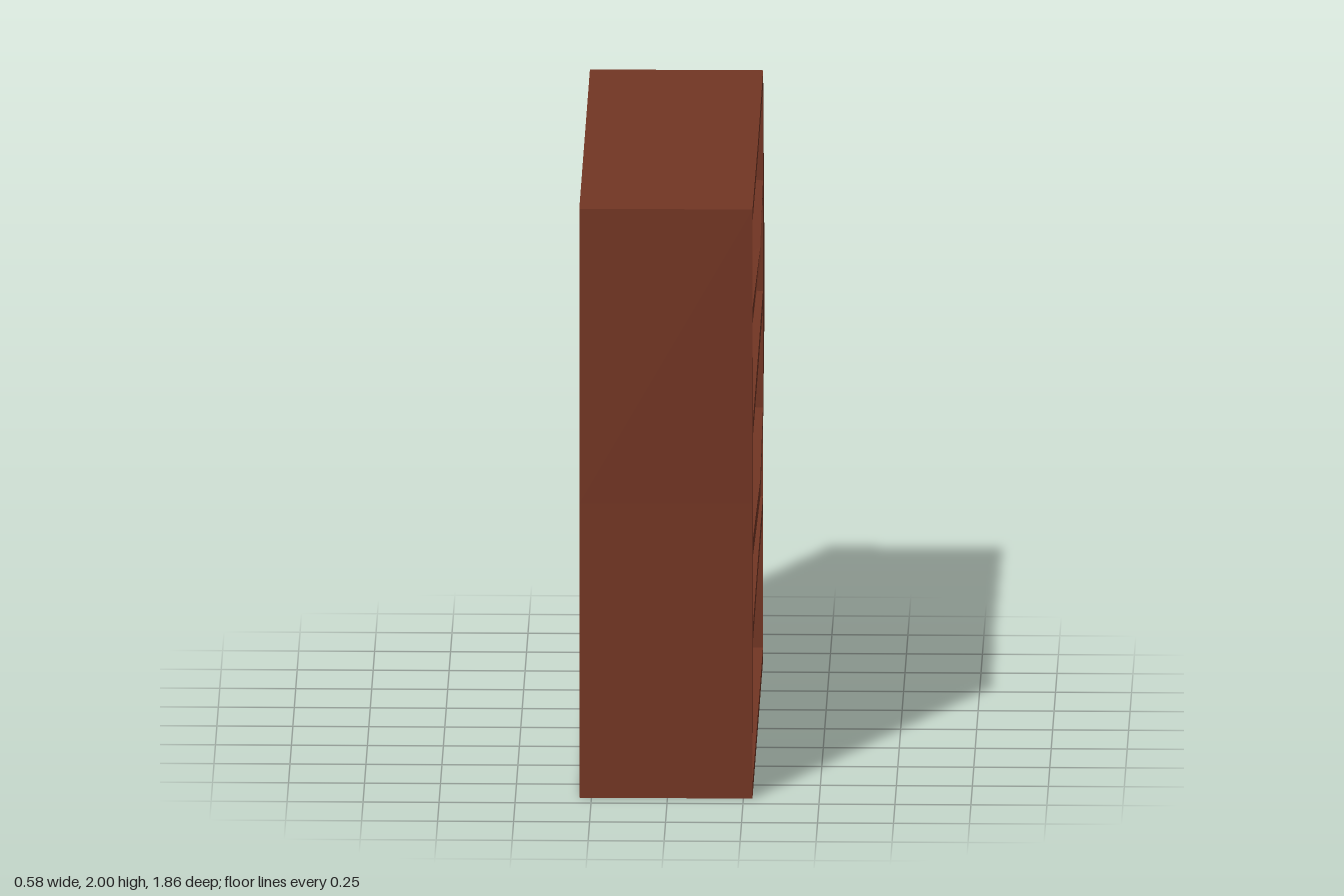
import * as THREE from 'three';

// Profiles are [u, y] pairs seen from the open side (+x), where u = -z.
const BACK = -0.29;
const outerFront = [[-0.93, 0], [0, 0], [0.92, 0], [0.92, 0.8], [0.93, 1.25], [0.92, 2], [0, 1.985], [-0.93, 2], [-0.92, 1]];
const outerBack = [[-0.93, 0], [0, 0], [0.92, 0], [0.92, 0.8], [0.92, 1.25], [0.92, 2], [0, 2], [-0.93, 2], [-0.93, 1]];

// Slightly worn rims, clockwise from the top left; inner = [left, right, bottom, top]
const compartments = [
  { rim: [[-0.89, 1.955], [0, 1.94], [0.88, 1.95], [0.885, 1.635], [0, 1.635], [-0.89, 1.66]], inner: [-0.89, 0.88, 1.66, 1.955], back: -0.05 },
  { rim: [[-0.89, 1.605], [0, 1.585], [0.875, 1.58], [0.885, 1.26], [0, 1.26], [-0.88, 1.265]], inner: [-0.88, 0.875, 1.265, 1.605], back: -0.05 },
  { rim: [[-0.88, 1.21], [0, 1.205], [0.885, 1.205], [0.88, 0.865], [0, 0.845], [-0.88, 0.865]], inner: [-0.88, 0.875, 0.865, 1.21], back: -0.05 },
  { rim: [[-0.88, 0.805], [0, 0.785], [0.875, 0.805], [0.875, 0.565], [0, 0.57], [-0.88, 0.57]], inner: [-0.88, 0.875, 0.57, 0.805], back: -0.05 },
  { rim: [[-0.88, 0.51], [0, 0.525], [0.875, 0.51], [0.88, 0.05], [0, 0.05], [-0.89, 0.05]], inner: [-0.89, 0.88, 0.05, 0.51], back: -0.17 },
];

// Front surface, swelling a little at two shelves and on one upright
function frontX(u, y) {
  if (u === 0 && (Math.abs(y - 0.82) < 0.05 || Math.abs(y - 1.61) < 0.05)) return 0.288;
  return u > 0.925 ? 0.285 : 0.28;
}

const flat = (geometry) => {
  const g = geometry.index ? geometry.toNonIndexed() : geometry;
  g.computeVertexNormals();
  return g;
};

// Panel across x, with optional holes
function panel(outline, holes, xAt, faceBack = false) {
  const toPoints = (loop) => loop.map(([u, y]) => new THREE.Vector2(u, y));
  const shape = new THREE.Shape(toPoints(outline));
  for (const hole of holes) shape.holes.push(new THREE.Path(toPoints(hole)));
  const g = new THREE.ShapeGeometry(shape);
  const p = g.attributes.position;
  for (let i = 0; i < p.count; i++) {
    const u = p.getX(i), y = p.getY(i);
    p.setXYZ(i, xAt(u, y), y, -u);
  }
  if (faceBack) g.index.array.reverse();
  return flat(g);
}

// Walls running from a loop on the front surface to a loop at backX
function walls(front, back, backX) {
  const a = front.map(([u, y]) => [frontX(u, y), y, -u]);
  const b = back.map(([u, y]) => [backX, y, -u]);
  const pos = [];
  for (let i = 0; i < a.length; i++) {
    const j = (i + 1) % a.length;
    pos.push(...a[i], ...b[i], ...b[j], ...a[i], ...b[j], ...a[j]);
  }
  const g = new THREE.BufferGeometry();
  g.setAttribute('position', new THREE.Float32BufferAttribute(pos, 3));
  return flat(g);
}

export function createModel() {
  const model = new THREE.Group();
  model.name = 'bookcase';
  const wood = new THREE.MeshStandardMaterial({ color: 0x733624 });
  wood.name = 'reddish brown wood';

  const add = (name, geometry) => {
    const mesh = new THREE.Mesh(geometry, wood);
    mesh.name = name;
    model.add(mesh);
  };

  // Outer case
  add('caseSides', walls(outerFront, outerBack, BACK));
  add('caseBack', panel(outerBack, [], () => BACK, true));
  add('frontFrame', panel(outerFront, compartments.map((c) => c.rim), frontX));

  // Shelf compartments
  compartments.forEach(({ rim, inner: [l, r, b, t], back }, i) => {
    const loop = [[l, t], [0, t], [r, t], [r, b], [0, b], [l, b]];
    add(`compartmentWalls${i + 1}`, walls(rim, loop, back));
    add(`compartmentBack${i + 1}`, panel(loop, [], () => back));
  });

  return model;
}
